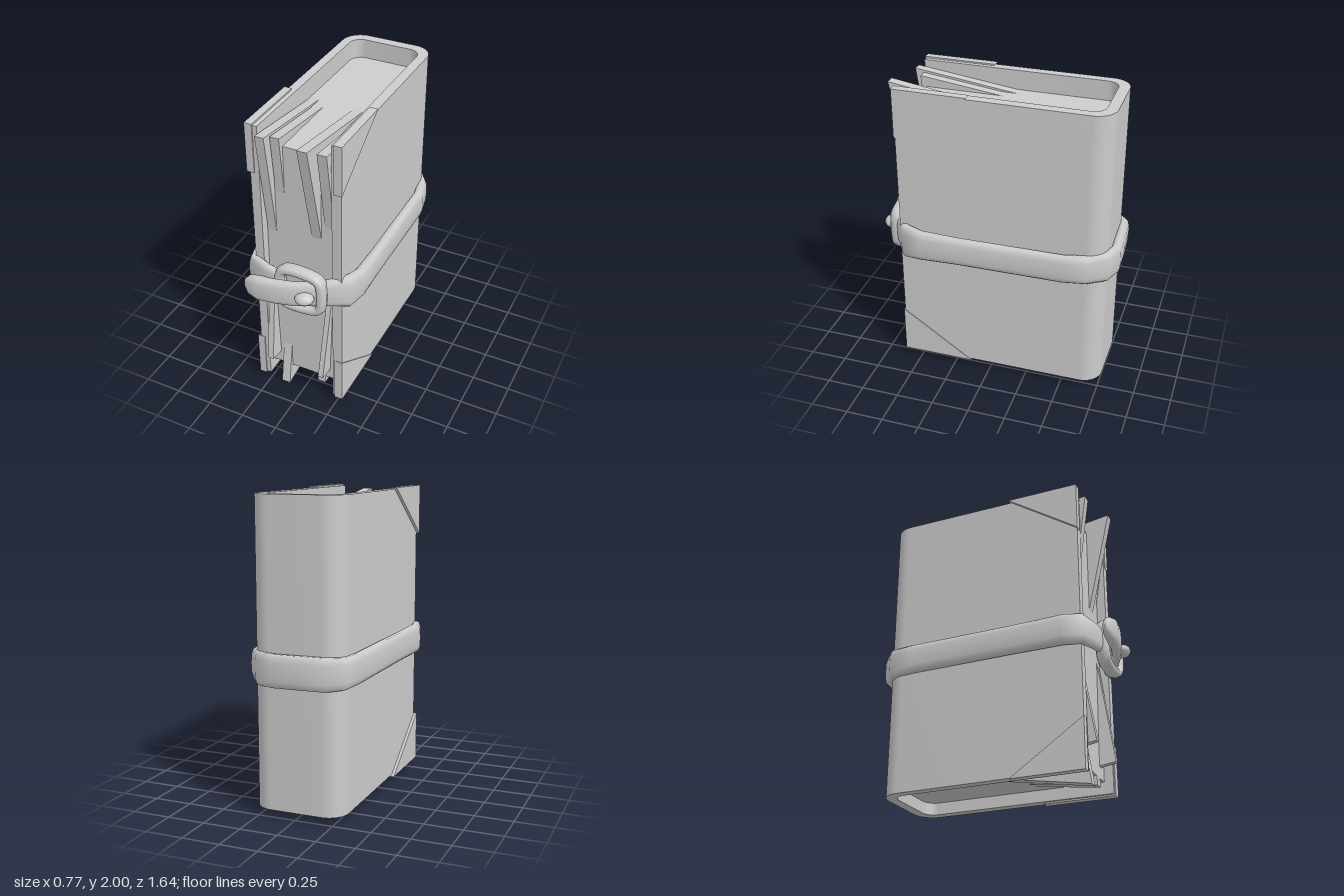
import * as THREE from 'three';
import { toCreasedNormals } from 'three/addons/utils/BufferGeometryUtils.js';

const grey = new THREE.MeshStandardMaterial({ color: 0xcccccc });
grey.name = 'plain grey';

// U-shaped outline open to the front; shape y is -z
function traceU(path, x0, x1, back, front, r) {
  path.moveTo(x0, -front);
  path.lineTo(x1, -front);
  path.lineTo(x1, -back - r);
  path.absarc(x1 - r, -back - r, r, 0, Math.PI / 2, false);
  path.lineTo(x0 + r, -back);
  path.absarc(x0 + r, -back - r, r, Math.PI / 2, Math.PI, false);
  path.lineTo(x0, -front);
  return path;
}

// Extrude a plan outline upwards from y0 to y1
function upright(shape, y0, y1) {
  const g = new THREE.ExtrudeGeometry(shape, { depth: y1 - y0, bevelEnabled: false, curveSegments: 8 });
  g.rotateX(-Math.PI / 2).translate(0, y0, 0);
  return toCreasedNormals(g, 0.6);
}

// Flat plate from [z, y] corners, spanning x0 to x1
function plate(points, x0, x1) {
  const shape = new THREE.Shape(points.map(([z, y]) => new THREE.Vector2(z, y)));
  const g = new THREE.ExtrudeGeometry(shape, { depth: x1 - x0, bevelEnabled: false });
  return g.rotateY(-Math.PI / 2).translate(x1, 0, 0);
}

// Strap swept through rows of [x, z, half thickness, half height]
function sweep(rows, y, sides = 14) {
  const pos = [], index = [];
  const round = (v) => Math.sign(v) * Math.abs(v) ** 0.7;
  rows.forEach(([x, z, t, h], i) => {
    const a = rows[Math.max(i - 1, 0)], b = rows[Math.min(i + 1, rows.length - 1)];
    const d = new THREE.Vector2(b[0] - a[0], b[1] - a[1]).normalize();
    for (let j = 0; j < sides; j++) {
      const ang = (j / sides) * Math.PI * 2;
      const off = t * round(Math.cos(ang));
      pos.push(x + d.y * off, y + h * round(Math.sin(ang)), z - d.x * off);
      if (i < rows.length - 1) {
        const p = i * sides + j, q = i * sides + ((j + 1) % sides);
        index.push(p, q, p + sides, q, q + sides, p + sides);
      }
    }
  });
  const g = new THREE.BufferGeometry();
  g.setAttribute('position', new THREE.Float32BufferAttribute(pos, 3));
  g.setIndex(index);
  g.computeVertexNormals();
  return g;
}

export function createModel() {
  const model = new THREE.Group();
  model.name = 'strappedBook';
  const add = (name, geometry) => {
    const mesh = new THREE.Mesh(geometry, grey);
    mesh.name = name;
    model.add(mesh);
    return mesh;
  };

  // Cover: two boards joined by a rounded spine
  const cover = new THREE.Shape();
  cover.moveTo(-0.31, -0.61);
  cover.lineTo(-0.25, -0.61);
  cover.lineTo(-0.25, 0.61);
  cover.absarc(-0.17, 0.61, 0.08, Math.PI, Math.PI / 2, true);
  cover.lineTo(0.145, 0.69);
  cover.absarc(0.145, 0.61, 0.08, Math.PI / 2, 0, true);
  cover.lineTo(0.225, -0.61);
  cover.lineTo(0.29, -0.61);
  cover.lineTo(0.29, 0.63);
  cover.absarc(0.16, 0.63, 0.13, 0, Math.PI / 2, false);
  cover.lineTo(-0.18, 0.76);
  cover.absarc(-0.18, 0.63, 0.13, Math.PI / 2, Math.PI, false);
  cover.lineTo(-0.31, -0.61);
  add('cover', upright(cover, 0.05, 1.99));

  // Page block
  add('pageBlock', upright(traceU(new THREE.Shape(), -0.25, 0.225, -0.69, 0.55, 0.08), 0.13, 1.86));

  // Triangular corner guards
  for (const [x0, x1] of [[-0.33, -0.28], [0.24, 0.295]]) {
    for (const [edge, tip] of [[2, 1.67], [0.04, 0.37]]) {
      add('cornerGuard', plate([[0.617, edge], [0.135, edge], [0.617, tip]], x0, x1));
    }
  }

  // Loose sheets: x range, outer corner [z, y], front edge end y, buried end z, lean
  const sheets = [
    [-0.245, -0.185, 0.65, 1.95, 1.23, -0.04, 0],
    [-0.18, -0.12, 0.59, 1.93, 1.53, 0.04, 0],
    [0.06, 0.125, 0.71, 1.97, 1.27, -0.02, 0],
    [0.15, 0.212, 0.64, 1.93, 1.37, 0.05, 0],
    [-0.235, -0.195, 0.66, 0.24, 0.93, 0.05, 0.025],
    [0.14, 0.175, 0.66, 0.225, 0.93, 0.05, -0.04],
    [-0.17, -0.11, 0.6, 0.0, 0.31, -0.15, 0],
    [0.08, 0.14, 0.552, 0.07, 0.13, 0.1, 0],
  ];
  for (const [x0, x1, z, y, yEnd, zEnd, lean] of sheets) {
    const yBack = y > 1 ? 1.86 : 0.13;
    const g = plate([[z, y], [0.55, yEnd], [zEnd, yBack]], x0, x1);
    const mid = (x0 + x1) / 2;
    g.translate(-mid, -y, 0).rotateZ(lean).translate(mid, y, 0);
    add('looseSheet', g);
  }

  // Strap: from the buckle round the back and out to the loose tail
  add('strap', sweep([
    [-0.06, 0.67, 0.002, 0.002], [-0.08, 0.67, 0.03, 0.08], [-0.2, 0.65, 0.035, 0.09],
    [-0.315, 0.615, 0.04, 0.1], [-0.345, 0.5, 0.042, 0.1], [-0.338, 0.2, 0.036, 0.097],
    [-0.327, -0.55, 0.036, 0.097], [-0.305, -0.7, 0.036, 0.1], [-0.22, -0.775, 0.036, 0.105],
    [-0.05, -0.785, 0.036, 0.105], [0.12, -0.792, 0.036, 0.105], [0.22, -0.755, 0.036, 0.105],
    [0.3, -0.64, 0.038, 0.1], [0.33, -0.5, 0.038, 0.097], [0.337, 0.2, 0.038, 0.097],
    [0.338, 0.45, 0.042, 0.105], [0.31, 0.56, 0.042, 0.12], [0.22, 0.625, 0.035, 0.1],
    [0.13, 0.685, 0.032, 0.09], [0.02, 0.735, 0.035, 0.09], [-0.1, 0.765, 0.038, 0.09],
    [-0.2, 0.775, 0.042, 0.088], [-0.265, 0.77, 0.034, 0.07], [-0.295, 0.762, 0.02, 0.035],
    [-0.3, 0.761, 0.002, 0.002],
  ], 0.945));

  // Buckle frame
  const frame = [
    [-0.095, 0.86], [-0.095, 1.03], [-0.06, 1.073], [0.13, 1.073], [0.175, 1.05],
    [0.188, 1.0], [0.188, 0.89], [0.175, 0.84], [0.13, 0.817], [-0.06, 0.817],
  ].map(([x, y]) => new THREE.Vector3(x, y, 0));
  const curve = new THREE.CatmullRomCurve3(frame, true, 'centripetal');
  const buckle = add('buckle', new THREE.TubeGeometry(curve, 48, 0.033, 8, true));
  buckle.scale.z = 1.4;
  buckle.position.z = 0.68;

  // Buckle pin
  const pin = add('bucklePin', new THREE.SphereGeometry(1, 12, 8));
  pin.scale.set(0.062, 0.04, 0.05);
  pin.rotation.y = 0.4;
  pin.position.set(0.105, 0.945, 0.75);

  return model;
}
